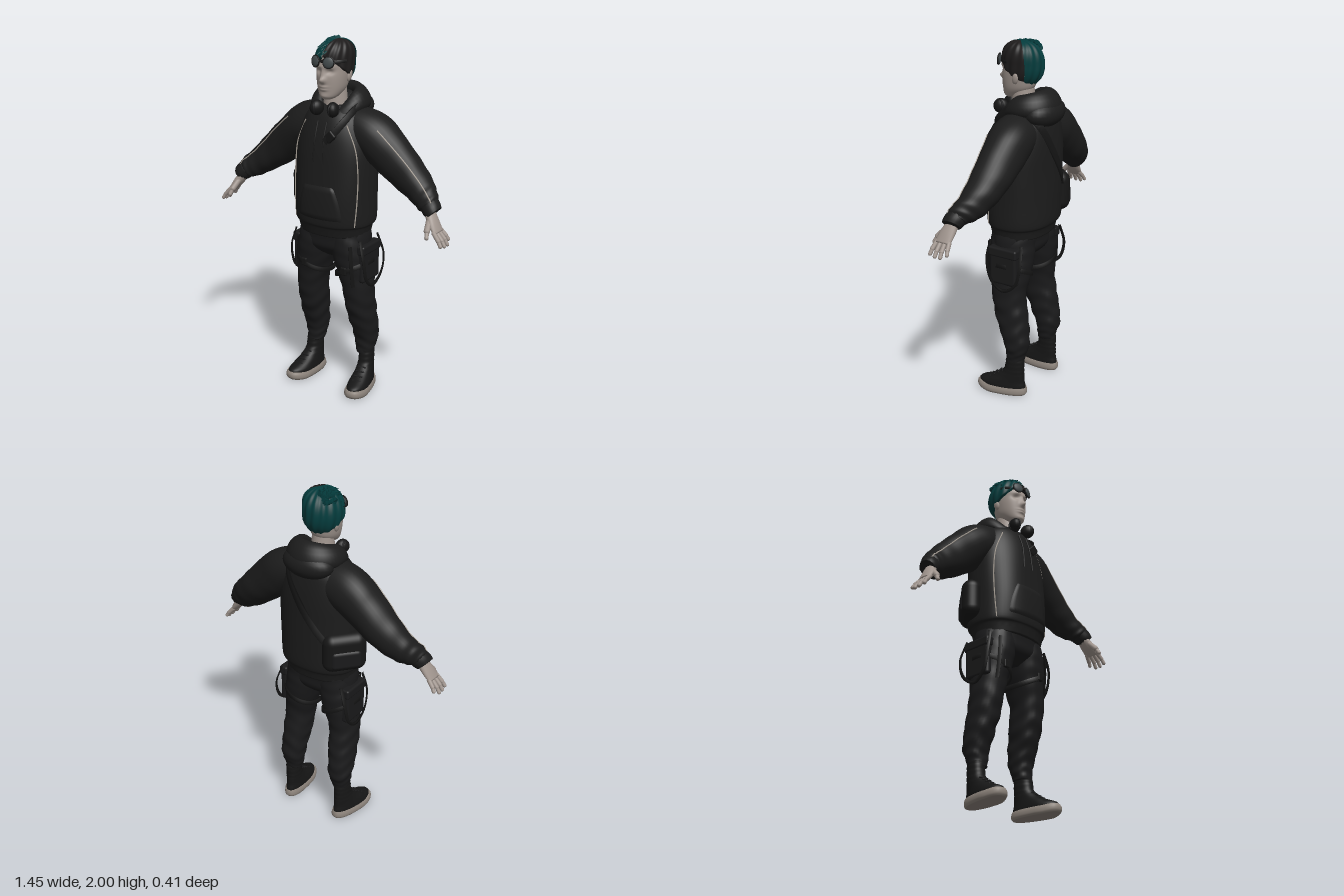
import * as THREE from 'three';
import { mergeVertices } from 'three/addons/utils/BufferGeometryUtils.js';
import { RoundedBoxGeometry } from 'three/addons/geometries/RoundedBoxGeometry.js';

const V = (x, y, z) => new THREE.Vector3(x, y, z);
const { clamp } = THREE.MathUtils;
const TAU = Math.PI * 2;
const gauss = (a, b) => Math.exp(-a * a - b * b);
const power = (c, e) => Math.sign(c) * Math.abs(c) ** e;

// Smooth surface from a point function; outward side is du x dv
function grid(nu, nv, fn) {
  const pos = [], idx = [];
  for (let i = 0; i <= nu; i++) for (let j = 0; j <= nv; j++) pos.push(...fn(i / nu, j / nv).toArray());
  for (let i = 0; i < nu; i++) for (let j = 0; j < nv; j++) {
    const a = i * (nv + 1) + j, b = a + nv + 1;
    idx.push(a, b, a + 1, b, b + 1, a + 1);
  }
  let g = new THREE.BufferGeometry();
  g.setAttribute('position', new THREE.Float32BufferAttribute(pos, 3));
  g.setIndex(idx);
  g = mergeVertices(g, 1e-5);
  g.computeVertexNormals();
  return g;
}

// Catmull-Rom sample of rings [x, y, z, radiusU, radiusZ]
function sample(rings, t) {
  const k = clamp(t, 0, 1) * (rings.length - 1), i = Math.min(Math.floor(k), rings.length - 2), f = k - i;
  const R = n => rings[clamp(n, 0, rings.length - 1)];
  return R(i).map((b, c) => {
    const a = R(i - 1)[c], d = R(i + 1)[c], e = R(i + 2)[c];
    return b + 0.5 * f * (d - a + f * (2 * a - 5 * b + 4 * d - e + f * (3 * (b - d) + e - a)));
  });
}

// Point on a lofted surface; level keeps the sections horizontal
function ringPoint(rings, t, a, { level = true, pow = 2 } = {}, k = 1) {
  const [x, y, z, ru, rz] = sample(rings, t);
  let tx = 0, ty = 1;
  if (!level) {
    const p = sample(rings, t - 0.02), q = sample(rings, t + 0.02), l = Math.hypot(q[0] - p[0], q[1] - p[1]);
    tx = (q[0] - p[0]) / l; ty = (q[1] - p[1]) / l;
  }
  const c = power(Math.cos(a), 2 / pow) * k * ru;
  return V(x + ty * c, y - tx * c, z + power(Math.sin(a), 2 / pow) * k * rz);
}

function loft(rings, { n = 30, seg = 28, fold = null, warp = null, ...o } = {}) {
  return grid(n, seg, (u, v) => {
    const i = Math.round(u * n), t = clamp((i - 1) / (n - 2), 0, 1), a = (v % 1) * TAU;
    const k = i === 0 || i === n ? 0 : 1 + (fold ? fold(t, a) : 0);
    const p = ringPoint(rings, t, a, o, k);
    if (warp) warp(p);
    return p;
  });
}

// Flat strap along a path, facing away from a vertical axis at x = ax
function ribbon(points, w, th, closed = false, ax = 0) {
  const curve = new THREE.CatmullRomCurve3(points, closed);
  return grid(48, 4, (u, v) => {
    const p = curve.getPoint(u), T = curve.getTangent(u), N = V(p.x - ax, 0, p.z);
    N.addScaledVector(T, -N.dot(T)).normalize();
    const S = T.clone().cross(N), j = Math.round(v * 4) % 4;
    return p.addScaledVector(S, (j === 0 || j === 3 ? 1 : -1) * w / 2).addScaledVector(N, (j < 2 ? 1 : -1) * th / 2);
  });
}
const tube = (points, r) => new THREE.TubeGeometry(new THREE.CatmullRomCurve3(points), 40, r, 6);

const torsoRings = [
  [0, 0.94, 0.02, 0.2, 0.15], [0, 0.99, 0.02, 0.212, 0.163], [0, 1.02, 0.015, 0.227, 0.18], [0, 1.15, 0.015, 0.228, 0.184],
  [0, 1.3, 0.01, 0.228, 0.18], [0, 1.42, 0.003, 0.222, 0.175], [0, 1.52, -0.005, 0.2, 0.163], [0, 1.6, -0.015, 0.165, 0.14],
  [0, 1.65, -0.02, 0.1, 0.1]];
const TP = 2.3;
// Point on the hoodie body at x, y; side 1 is the front, -1 the back
function onTorso(x, y, side = 1, lift = 0.004) {
  let lo = 0, hi = 1;
  for (let i = 0; i < 24; i++) { const m = (lo + hi) / 2; sample(torsoRings, m)[1] < y ? lo = m : hi = m; }
  const [, , z, rx, rz] = sample(torsoRings, lo);
  return V(x, y, z + side * (lift + rz * (1 - Math.min(0.99, Math.abs(x / rx)) ** TP) ** (1 / TP)));
}

export function createModel() {
  const root = new THREE.Group();
  const mat = (name, color) => Object.assign(new THREE.MeshStandardMaterial({ color }), { name });
  const hoodie = mat('hoodie black', 0x1c1c1c), cloth = mat('trouser black', 0x1a1a1b), gear = mat('strap black', 0x161616);
  const hairDark = mat('dark hair', 0x1e1c1c), teal = mat('teal hair', 0x043c3d), skin = mat('skin', 0xa0958e);
  const rubber = mat('sole', 0x8d847c), trim = mat('piping', 0xaaa298), glass = mat('lens', 0x434a4c);
  hairDark.side = teal.side = THREE.DoubleSide;
  const add = (name, geo, m, p, parent = root) => {
    const o = new THREE.Mesh(geo, m);
    o.name = name;
    if (p) o.position.copy(p);
    parent.add(o);
    return o;
  };
  const limb = (name, a, b, r, m) => add(name, new THREE.CapsuleGeometry(r, a.distanceTo(b), 4, 10), m, a.clone().lerp(b, 0.5))
    .quaternion.setFromUnitVectors(V(0, 1, 0), b.clone().sub(a).normalize());

  // Hoodie body, front pocket and hood lying open around the neck
  add('hoodieBody', loft(torsoRings, { pow: TP, n: 50, seg: 56,
    fold: (t, a) => 0.008 * Math.sin(5 * a + 9 * t) * Math.sin(t * Math.PI) + (t < 0.1 ? 0.006 * Math.cos(28 * a) : 0) }), hoodie);
  add('frontPocket', grid(16, 10, (u, v) => {
    const edge = u === 0 || u === 1 || v === 0 || v === 1, w = 0.15 - 0.06 * v * v;
    return onTorso((2 * u - 1) * w, 1.03 + 0.21 * v, 1, edge ? -0.01 : 0.007);
  }), hoodie);
  add('hood', grid(48, 16, (u, v) => {
    const a = u * TAU, b = (v % 1) * TAU, c = Math.cos(a), f = Math.max(0, c), r = 0.043 - 0.012 * c;
    const k = r * (Math.cos(b) * 0.85 - Math.sin(b) * 0.45);
    return V(Math.sin(a) * (0.122 + k), 1.672 - 0.085 * f * f - 0.01 * c + r * 1.2 * Math.sin(b), -0.02 + c * (0.118 + k));
  }), hoodie);
  add('hoodBack', new THREE.SphereGeometry(1, 28, 16), hoodie, V(0, 1.625, -0.11)).scale.set(0.15, 0.08, 0.092);
  for (const x of [-0.03, 0.025]) {
    add('drawstring', tube([onTorso(x, 1.57), onTorso(x, 1.48, 1, 0.006), onTorso(x * 1.2, 1.35)], 0.004), gear);
  }

  // Strap over the left shoulder and across the back, with buckle and bag
  add('bagStrap', ribbon([onTorso(0.03, 1.47), onTorso(0.07, 1.51), onTorso(0.12, 1.59), V(0.14, 1.66, -0.02),
    onTorso(0.11, 1.58, -1), onTorso(0.03, 1.44, -1), onTorso(-0.08, 1.28, -1), onTorso(-0.16, 1.17, -1)], 0.036, 0.012), gear);
  add('strapBuckle', new RoundedBoxGeometry(0.06, 0.05, 0.025, 2, 0.008), gear, onTorso(0.06, 1.5)).rotation.z = 0.8;
  const bag = new THREE.Group();
  bag.name = 'hipBag';
  bag.position.set(-0.2, 1.145, -0.065);
  bag.rotation.set(0, -0.7, 0);
  root.add(bag);
  add('bagBody', new RoundedBoxGeometry(0.11, 0.225, 0.24, 6, 0.054), gear, null, bag);
  add('bagPocket', new RoundedBoxGeometry(0.05, 0.11, 0.17, 5, 0.024), cloth, V(-0.038, -0.03, 0), bag);

  // Trouser seat
  add('trouserSeat', loft([[0, 0.8, 0.022, 0.05, 0.06], [0, 0.835, 0.022, 0.15, 0.105], [0, 0.87, 0.024, 0.205, 0.126],
    [0, 0.92, 0.024, 0.212, 0.13], [0, 0.98, 0.02, 0.2, 0.14]], { pow: 2.3 }), cloth);

  for (const s of [-1, 1]) {
    const m = rings => rings.map(([x, ...r]) => [x * s, ...r]);

    // Sleeve with gathered folds, cuff and seam piping
    const arm = m([[0.07, 1.53, -0.02, 0.115, 0.11], [0.2, 1.495, -0.025, 0.125, 0.122], [0.3, 1.42, -0.026, 0.118, 0.112],
      [0.42, 1.32, -0.024, 0.101, 0.097], [0.52, 1.243, -0.004, 0.08, 0.08], [0.575, 1.205, 0.024, 0.066, 0.068],
      [0.605, 1.183, 0.042, 0.048, 0.052]]);
    const folds = (t, a) => 0.016 * Math.sin(3 * a + 14 * t) + 0.045 * t * t * Math.sin(46 * t + 2 * Math.cos(a));
    add('sleeve', loft(arm, { level: false, n: 56, seg: 32, fold: folds }), hoodie);
    add('sleeveCuff', loft(m([[0.585, 1.2, 0.038, 0.052, 0.056], [0.61, 1.176, 0.048, 0.051, 0.056], [0.628, 1.158, 0.054, 0.044, 0.05]]),
      { level: false, n: 10, fold: (t, a) => 0.03 * Math.cos(14 * a) }), hoodie);
    const seam = [];
    for (let t = 0.22; t < 0.98; t += 0.04) {
      const a = Math.PI / 2 + s * 0.75;
      seam.push(ringPoint(arm, t, a, { level: false }, 1.01 + folds(t, a)));
    }
    add('sleevePiping', tube(seam, 0.0035), trim);
    add('bodyPiping', tube([[0.19, 1.01], [0.2, 1.15], [0.2, 1.3], [0.185, 1.43], [0.13, 1.56]]
      .map(([x, y]) => onTorso(x * s, y, 1, 0.002)), 0.0035), trim);

    // Hand
    add('palm', loft(m([[0.595, 1.175, 0.055, 0.027, 0.033], [0.635, 1.115, 0.072, 0.024, 0.045], [0.67, 1.068, 0.08, 0.014, 0.046]]),
      { level: false, n: 14, seg: 20 }), skin);
    for (let k = 0; k < 4; k++) {
      const z = 0.043 + 0.025 * k, d = (k - 1.5) * 0.005, long = k === 0 ? 0.75 : k === 3 ? 0.9 : 1;
      const a = V(s * 0.662, 1.075, z), b = V(s * (0.662 + 0.036 * long), 1.075 - 0.04 * long, z + d);
      limb('fingerBase', a, b, 0.012, skin);
      limb('fingerTip', b, V(s * (0.662 + 0.052 * long), 1.075 - 0.066 * long, z + 1.6 * d), 0.0105, skin);
    }
    limb('thumbBase', V(s * 0.62, 1.13, 0.09), V(s * 0.632, 1.085, 0.135), 0.016, skin);
    limb('thumbTip', V(s * 0.632, 1.085, 0.135), V(s * 0.64, 1.055, 0.152), 0.0115, skin);

    // Trouser leg, bunched around the knee and calf
    add('trouserLeg', loft(m([[0.168, 0.21, -0.03, 0.047, 0.05], [0.167, 0.25, -0.035, 0.056, 0.056], [0.168, 0.31, -0.04, 0.067, 0.07],
      [0.165, 0.4, -0.02, 0.073, 0.085], [0.158, 0.5, 0.003, 0.078, 0.095], [0.154, 0.6, 0.02, 0.081, 0.097],
      [0.138, 0.7, 0.02, 0.091, 0.11], [0.12, 0.8, 0.022, 0.104, 0.124], [0.107, 0.88, 0.024, 0.104, 0.128],
      [0.1, 0.95, 0.02, 0.098, 0.125]]), { n: 70, pow: 2.2,
      fold: (t, a) => (0.024 * gauss((t - 0.3) / 0.25, 0) + 0.008)
        * (Math.sin(62 * t + 2.2 * Math.sin(a * 2 + s)) + 0.7 * Math.sin(41 * t - 3 * a * s)) }), cloth);

    // Cargo pocket, hanging side strap and thigh strap
    add('cargoPocket', new RoundedBoxGeometry(0.05, 0.2, 0.17, 3, 0.018), cloth, V(s * 0.208, 0.78, 0.015));
    add('pocketFlap', new RoundedBoxGeometry(0.052, 0.055, 0.18, 3, 0.012), cloth, V(s * 0.211, 0.87, 0.015));
    add('sideStrap', ribbon([[0.21, 0.93, 0.1], [0.238, 0.82, 0.11], [0.24, 0.7, 0.08], [0.236, 0.65, 0.01], [0.24, 0.7, -0.07],
      [0.238, 0.8, -0.1], [0.2, 0.92, -0.09]].map(([x, y, z]) => V(x * s, y, z)), 0.016, 0.008), gear);
    const band = [];
    for (let k = 0; k < 16; k++) {
      const a = k / 16 * TAU;
      band.push(V(s * (0.13 + 0.102 * Math.cos(a)), 0.745 + 0.05 * Math.cos(a), 0.021 + 0.12 * Math.sin(a)));
    }
    add('thighStrap', ribbon(band, 0.026, 0.01, true, s * 0.13), gear);
    add('thighBuckle', new RoundedBoxGeometry(0.035, 0.045, 0.02, 2, 0.006), gear, V(s * 0.13, 0.75, 0.14));
    add('hangingStrap', ribbon([V(s * 0.17, 0.9, 0.138), V(s * 0.178, 0.78, 0.138), V(s * 0.18, 0.66, 0.122)], 0.02, 0.008), gear);

    // High-top shoe, toes turned out slightly
    const shoe = new THREE.Group();
    shoe.name = 'shoe';
    shoe.position.set(s * 0.182, 0, 0);
    shoe.rotation.y = s * 0.14;
    root.add(shoe);
    const widen = p => { p.x *= 0.92 + 1.1 * clamp(p.z - 0.02, -0.1, 0.08); p.y += 0.012 * clamp((p.z - 0.12) / 0.08, 0, 1); };
    add('shoeSole', loft([[0, 0, 0.047, 0.06, 0.142], [0, 0.012, 0.047, 0.067, 0.15], [0, 0.03, 0.047, 0.067, 0.15],
      [0, 0.045, 0.045, 0.062, 0.144]], { pow: 2.5, n: 14, seg: 40, warp: widen }), rubber, null, shoe);
    add('shoeUpper', loft([[0, 0.03, 0.045, 0.06, 0.142], [0, 0.055, 0.043, 0.06, 0.138], [0, 0.08, 0.025, 0.056, 0.114],
      [0, 0.11, -0.005, 0.051, 0.083], [0, 0.15, -0.027, 0.048, 0.059], [0, 0.2, -0.033, 0.047, 0.054], [0, 0.235, -0.034, 0.044, 0.05]],
      { pow: 2.2, n: 30, seg: 36, warp: widen, fold: t => t > 0.55 ? 0.03 * Math.sin(60 * t) : 0 }), gear, null, shoe);
    for (let k = 0; k < 4; k++) {
      const z = 0.115 - k * 0.026;
      add('shoeLace', new THREE.CapsuleGeometry(0.005, 0.045, 3, 6), cloth, V(0, 0.086 + k * 0.017, z), shoe).rotation.z = Math.PI / 2;
    }

    // Ear, headphone cup and goggle lens
    const ear = add('ear', new THREE.SphereGeometry(1, 14, 10), skin, V(s * 0.086, 1.802, 0.02));
    ear.scale.set(0.011, 0.031, 0.019);
    ear.rotation.set(-0.2, 0, -s * 0.15);
    const cup = add('headphoneCup', new THREE.SphereGeometry(0.041, 20, 14), gear, V(s * 0.05 + 0.004, 1.637, 0.13));
    cup.scale.set(0.75, 1, 1);
    cup.rotation.y = s * 0.4;
    add('cupRing', new THREE.TorusGeometry(0.033, 0.006, 8, 24), cloth, V(s * 0.058 + 0.004, 1.637, 0.135)).rotation.y = s * 1.2;
    const eye = add('goggleRim', new THREE.TorusGeometry(0.029, 0.004, 8, 24), gear, V(s * 0.04, 1.885, 0.148));
    eye.rotation.set(-0.1, s * 0.3, 0);
    add('goggleLens', new THREE.SphereGeometry(0.029, 20, 12), glass, null, eye).scale.z = 0.35;
  }

  // Neck and head with modelled brow, nose, lips and eye sockets
  add('neck', new THREE.CylinderGeometry(0.055, 0.074, 0.2, 24), skin, V(0, 1.66, 0.02));
  add('head', loft([[0, 1.685, 0.092, 0.028, 0.03], [0, 1.702, 0.076, 0.05, 0.058], [0, 1.74, 0.052, 0.07, 0.086],
    [0, 1.79, 0.044, 0.08, 0.097], [0, 1.84, 0.037, 0.085, 0.102], [0, 1.9, 0.032, 0.086, 0.103], [0, 1.95, 0.03, 0.066, 0.078],
    [0, 1.972, 0.028, 0.035, 0.04]], { n: 70, seg: 72, pow: 2.15, warp: p => {
    if (p.z < 0.05) return;
    const ax = Math.abs(p.x);
    p.z += 0.026 * gauss(p.x / 0.015, (p.y - 1.788) / 0.016) + 0.013 * gauss(p.x / 0.011, (p.y - 1.82) / 0.03)
      - 0.013 * gauss((ax - 0.034) / 0.02, (p.y - 1.832) / 0.014) + 0.006 * gauss((ax - 0.03) / 0.03, (p.y - 1.858) / 0.01)
      + 0.008 * gauss(p.x / 0.024, (p.y - 1.753) / 0.006) + 0.008 * gauss(p.x / 0.022, (p.y - 1.738) / 0.006)
      + 0.005 * gauss(p.x / 0.024, (p.y - 1.702) / 0.013);
  } }), skin);

  // Hair: dark on the left and front, teal on the right and back
  const hair = (name, m, from, to, size, ridge) => add(name, grid(28, 60, (u, v) => {
    const phi = from + (to - from) * v, lim = 1.36 + 1.25 * ((1 - Math.cos(phi)) / 2) ** 0.8, th = u * lim;
    const k = (1 + ridge * Math.sin(phi * 14 + 3 * th) * Math.sin(th)) * (u === 1 ? 0.9 : 1), r = power(Math.sin(th), 0.85) * k;
    const lean = 0.02 * Math.max(0, Math.cos(th));
    return V(Math.sin(phi) * r * size + lean, 1.87 + 0.122 * power(Math.cos(th), 0.85) * k, 0.027 + Math.cos(phi) * r * (size + 0.016));
  }), m);
  hair('darkHair', hairDark, -0.1, 2.15, 0.098, 0.025);
  hair('tealHair', teal, 2.15, TAU - 0.1, 0.104, 0.03);

  // Loose tufts swept towards the forehead
  let seed = 7;
  const rnd = () => (seed = (seed * 16807) % 2147483647) / 2147483647;
  for (let i = 0; i < 46; i++) {
    const phi = -0.05 - rnd() * 2.2, th = 0.3 + rnd() * 0.85, r = Math.sin(th) ** 0.85;
    const p = V(Math.sin(phi) * r * 0.1 + 0.012, 1.87 + 0.116 * Math.cos(th) ** 0.85, 0.027 + Math.cos(phi) * r * 0.112);
    add('tealTuft', new THREE.ConeGeometry(0.013, 0.07, 8), teal, p)
      .quaternion.setFromUnitVectors(V(0, 1, 0), V(-0.4 + rnd() * 0.4, 0.05 - 0.45 * Math.sin(th), 0.6 + 0.3 * rnd()).normalize());
  }

  // Goggle bridge and the short strap running into the hair
  add('goggleBridge', new THREE.CapsuleGeometry(0.005, 0.02, 4, 8), gear, V(0, 1.887, 0.152)).rotation.z = Math.PI / 2;
  add('goggleStrap', ribbon(Array.from({ length: 9 }, (_, k) => {
    const a = (k / 4 - 1) * 1.25;
    return V(0.1 * Math.sin(a), 1.887, 0.027 + 0.115 * Math.cos(a));
  }), 0.016, 0.008), gear);
  return root;
}
